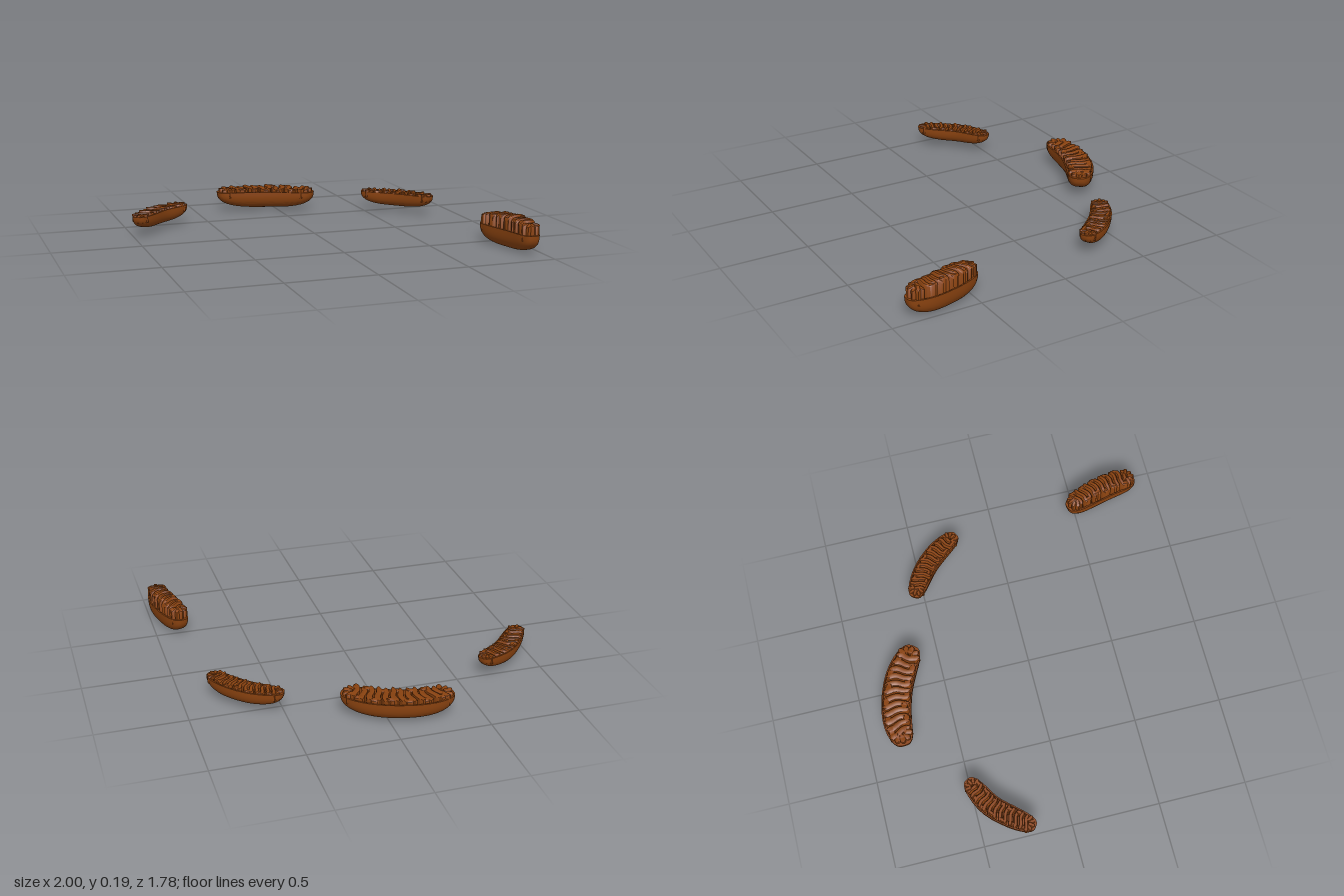
import * as THREE from 'three';
import { mergeGeometries, toCreasedNormals } from 'three/addons/utils/BufferGeometryUtils.js';

// Skin a list of equal-length rows of [x, y, z] points
function loft(rows) {
  const cols = rows[0].length, index = [];
  for (let i = 0; i < rows.length - 1; i++) {
    for (let j = 0; j < cols - 1; j++) {
      const a = i * cols + j, b = a + cols;
      index.push(a, a + 1, b, a + 1, b + 1, b);
    }
  }
  const g = new THREE.BufferGeometry();
  g.setAttribute('position', new THREE.Float32BufferAttribute(rows.flat(2), 3));
  g.setIndex(index);
  return g;
}

const signedPow = (v, p) => Math.sign(v) * Math.pow(Math.abs(v), p);

// One bean-shaped half capsule with folded inner membrane.
// spine: [x, z] points; hw: half width; base/rim: heights; rise/dome: fold heights above the rim
function createCapsule({ name, spine, hw, base, rim, rise, dome }, material) {
  const curve = new THREE.CatmullRomCurve3(spine.map(([x, z]) => new THREE.Vector3(x, 0, z)));
  const L = curve.getLength() / 2;

  // Bend local coordinates (s along the spine, y up, t across) onto the spine
  const place = (s, y, t) => {
    const u = THREE.MathUtils.clamp((s + L) / (2 * L), 0, 1);
    const p = curve.getPointAt(u), d = curve.getTangentAt(u);
    return [p.x - d.z * t, y, p.z + d.x * t];
  };
  const widthAt = (s) => hw * Math.pow(Math.max(0, 1 - Math.pow(Math.abs(s / L), 3)), 1 / 3);

  // Outer shell: recessed floor, thin rim, rounded underside
  const floor = rim - 0.03;
  const inset = 1 - 0.007 / hw;
  const levels = [[0, floor], [0.5, floor], [inset, floor], [inset, rim], [1, rim]];
  for (let k = 1; k <= 14; k++) {
    const a = (k / 14) * Math.PI / 2;
    const r = k === 14 ? 0 : Math.pow(Math.cos(a), 0.75);
    levels.push([r, rim - (rim - base) * Math.pow(Math.sin(a), 0.75)]);
  }
  const N = 80;
  const shellRows = levels.map(([r, y]) => Array.from({ length: N + 1 }, (_, j) => {
    const a = ((j % N) / N) * Math.PI * 2;
    return place(r * L * signedPow(Math.cos(a), 2 / 3), y, r * hw * signedPow(Math.sin(a), 2 / 3));
  }));
  const shell = new THREE.Mesh(toCreasedNormals(loft(shellRows), 0.7), material);
  shell.name = 'outerShell';

  // Top of the folds: nearly level, or arched both ways when dome > 0
  const topAt = (s, t) => {
    const across = Math.min(1, Math.abs(t) / hw);
    const along = Math.min(1, Math.abs(s) / L);
    return rim + rise + dome * (1 - 0.6 * along ** 2) * Math.pow(1 - across ** 3, 0.5);
  };

  // Rounded wall following a path of [s, t] points
  const wall = (path, width, lift) => {
    const n = path.length - 1;
    const rows = path.map(([s, t], i) => {
      const p = path[Math.max(0, i - 1)], q = path[Math.min(n, i + 1)];
      const len = Math.hypot(q[0] - p[0], q[1] - p[1]) || 1;
      const ns = -(q[1] - p[1]) / len, nt = (q[0] - p[0]) / len;
      const end = Math.min(i, n - i);
      const w = width * (end === 0 ? 0 : end === 1 ? 0.8 : 1) / 2;
      const top = topAt(s, t) + lift, low = floor - 0.004;
      const section = [[-1, low], [-1, top - 0.005], [-0.65, top], [0.65, top], [1, top - 0.005], [1, low]];
      return section.map(([o, y]) => place(s + ns * o * w, y, t + nt * o * w));
    });
    return loft(rows);
  };
  const line = (count, f) => Array.from({ length: count + 1 }, (_, i) => f(i / count));

  // Slanted, wavy cross folds, joined alternately at either side
  const folds = [];
  const span = 2 * (L - hw * 0.95);
  const count = Math.round(span / (hw * 0.5));
  const pitch = span / count;
  for (let i = 0; i <= count; i++) {
    const s0 = -span / 2 + i * pitch;
    const wave = (v) => s0 + hw * (0.16 * v + 0.07 * Math.sin(v * 4 + i * 0.35));
    const reach = 0.9 * widthAt(s0);
    const lift = 0.004 * Math.sin(i * 2.4);
    folds.push(wall(line(14, (v) => [wave(2 * v - 1), reach * (2 * v - 1)]), pitch * 0.76, lift));
    if (i < count) {
      const side = i % 2 ? 1 : -1;
      const t = side * reach * (0.68 + 0.08 * Math.sin(i * 1.7));
      const s = wave(side * 0.7);
      folds.push(wall(line(6, (v) => [s + pitch * (v * 1.4 - 0.2), t]), hw * 0.4, lift - 0.001));
    }
  }
  // Finger-like folds fanning out at both rounded ends
  for (const end of [-1, 1]) {
    for (let k = -2; k <= 2; k++) {
      const a = k * 0.6;
      const c = L - hw * 0.95;
      folds.push(wall(line(8, (v) => {
        const r = hw * (0.2 + 0.64 * v);
        return [end * (c + r * Math.cos(a)), r * Math.sin(a)];
      }), hw * 0.36, 0.002 * Math.cos(k * 3)));
    }
  }
  const membrane = new THREE.Mesh(toCreasedNormals(mergeGeometries(folds), 0.8), material);
  membrane.name = 'innerFolds';

  const group = new THREE.Group();
  group.name = name;
  group.add(shell, membrane);
  return group;
}

export function createModel() {
  const brown = new THREE.MeshStandardMaterial({ color: 0x8b4310 });
  brown.name = 'russet brown';

  const capsules = [
    {
      name: 'backCapsule', hw: 0.085, base: 0.01, rim: 0.115, rise: 0.018, dome: 0,
      spine: [[-0.36, -0.8], [-0.21, -0.81], [-0.04, -0.775], [0.085, -0.715], [0.205, -0.625]],
    },
    {
      name: 'rightCapsule', hw: 0.061, base: 0.035, rim: 0.118, rise: 0.008, dome: 0,
      spine: [[-0.985, -0.205], [-0.893, -0.326], [-0.807, -0.417], [-0.635, -0.51]],
    },
    {
      name: 'leftBackCapsule', hw: 0.061, base: 0.035, rim: 0.118, rise: 0.008, dome: 0,
      spine: [[0.5, -0.56], [0.663, -0.455], [0.754, -0.358], [0.832, -0.232]],
    },
    {
      name: 'leftFrontCapsule', hw: 0.066, base: 0, rim: 0.105, rise: 0.022, dome: 0.058,
      spine: [[0.845, 0.452], [0.9, 0.62], [0.93, 0.754], [0.936, 0.89]],
    },
  ];

  const model = new THREE.Group();
  model.name = 'foldedCapsules';
  for (const c of capsules) model.add(createCapsule(c, brown));
  return model;
}
